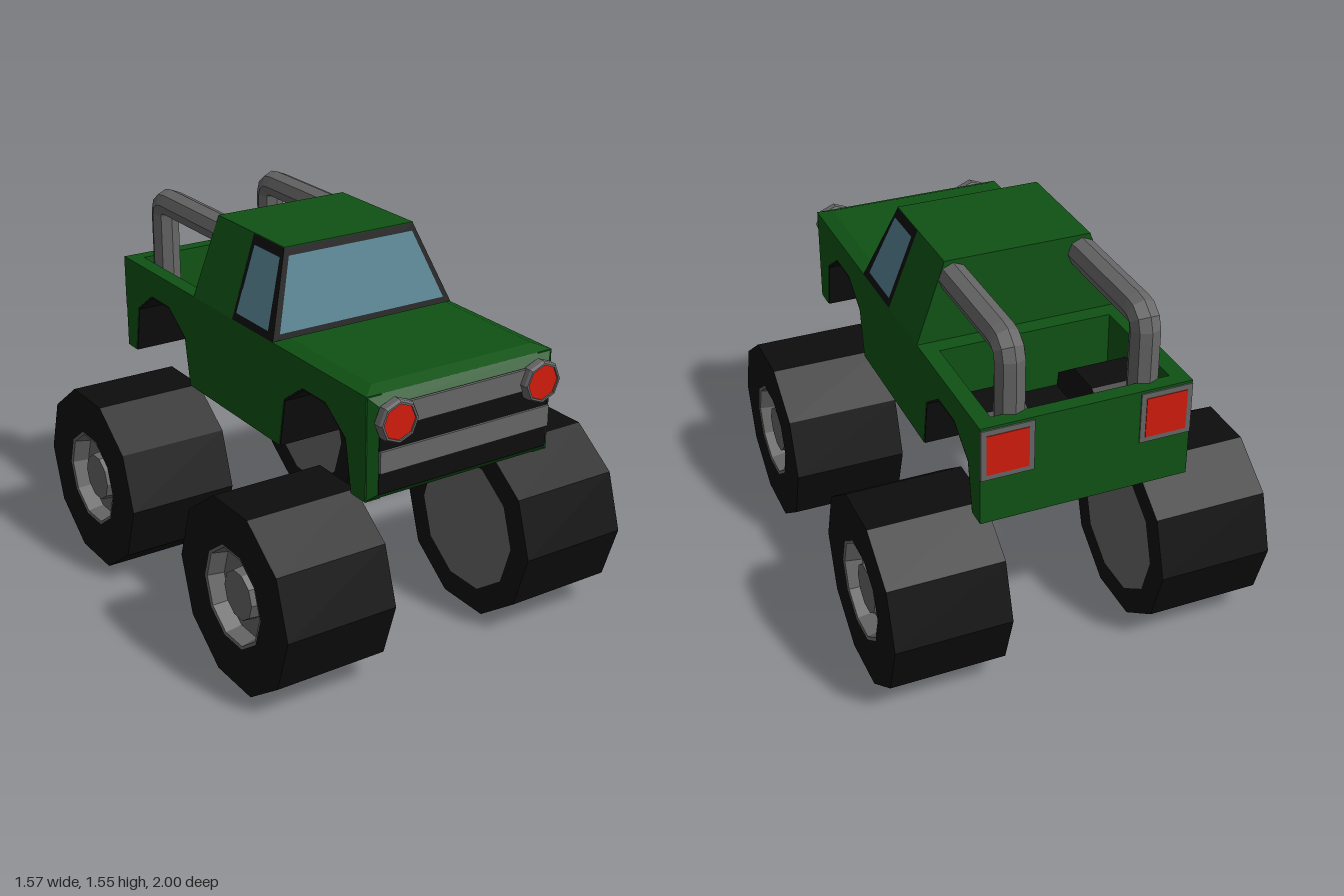
import * as THREE from 'three';

const mat = (color) => new THREE.MeshStandardMaterial({ color, flatShading: true, side: THREE.DoubleSide });

export function createModel() {
  const model = new THREE.Group();
  const green = mat(0x0f5214), black = mat(0x0d0d0d), grey = mat(0x666666);
  const red = mat(0xd01c0c), glass = mat(0x54808f);

  const add = (name, geo, material, parent = model) => {
    const mesh = new THREE.Mesh(geo, material);
    mesh.name = name;
    parent.add(mesh);
    return mesh;
  };
  // Box from its limits
  const box = (name, material, x0, x1, y0, y1, z0, z1) =>
    add(name, new THREE.BoxGeometry(x1 - x0, y1 - y0, z1 - z0)
      .translate((x0 + x1) / 2, (y0 + y1) / 2, (z0 + z1) / 2), material);
  // Tapered block between two rectangles [half width, zMin, zMax]
  const taper = (low, high, y0, y1) => {
    const geo = new THREE.BoxGeometry(1, 1, 1), p = geo.attributes.position;
    for (let i = 0; i < p.count; i++) {
      const up = p.getY(i) > 0, r = up ? high : low;
      p.setXYZ(i, Math.sign(p.getX(i)) * r[0], up ? y1 : y0, p.getZ(i) > 0 ? r[2] : r[1]);
    }
    geo.computeVertexNormals();
    return geo;
  };
  const lathe = (points, sides) =>
    new THREE.LatheGeometry(points.map(([r, y]) => new THREE.Vector2(r, y)), sides);
  // Extrude a (z, y) outline along x, from x0 to x1
  const extrudeX = (shape, x0, x1) =>
    new THREE.ExtrudeGeometry(shape, { depth: x1 - x0, bevelEnabled: false })
      .rotateY(-Math.PI / 2).scale(-1, 1, 1).translate(x0, 0, 0);
  const shapeOf = (pts) => new THREE.Shape(pts.map(([a, b]) => new THREE.Vector2(a, b)));
  const flip = (geo) => { // restore winding after a mirrored scale
    if (geo.index) geo = geo.toNonIndexed();
    const p = geo.attributes.position, a = new THREE.Vector3(), b = new THREE.Vector3();
    for (let i = 0; i < p.count; i += 3) {
      a.fromBufferAttribute(p, i);
      b.fromBufferAttribute(p, i + 2);
      p.setXYZ(i, b.x, b.y, b.z);
      p.setXYZ(i + 2, a.x, a.y, a.z);
    }
    geo.computeVertexNormals();
    return geo;
  };

  const axles = [0.59, -0.607];
  // Wheel arch outline, rear to front
  const arch = (zc, k = 1) => [[-0.24, 0], [-0.204, 0.2], [-0.075, 0.29], [0.075, 0.29], [0.204, 0.2], [0.24, 0]]
    .map(([z, y]) => [zc + z * k, 0.81 + y * k]);

  // Side panels and wheel wells
  const side = shapeOf([[-0.93, 0.81], ...arch(axles[1], 1.03), ...arch(axles[0], 1.03),
    [0.925, 0.81], [0.925, 1.22], [-0.93, 1.22]]);
  for (const s of [1, -1]) {
    const mirrored = (geo) => (s > 0 ? flip(geo) : geo.scale(-1, 1, 1));
    add('sidePanel', mirrored(extrudeX(side, 0.355, 0.42)), green);
    for (const z of axles) {
      const liner = shapeOf([...arch(z, 1.035), ...arch(z).reverse()]);
      add('wheelWell', mirrored(extrudeX(liner, 0.14, 0.418)), black);
      add('wheelWellEnd', mirrored(extrudeX(shapeOf(arch(z, 1.035)), 0.135, 0.145)), black);
    }
    // Floor parts between the wells
    for (const [z0, z1] of [[0.835, 0.92], [-0.36, 0.345], [-0.92, -0.855]])
      box('underbodySide', black, Math.min(s * 0.14, s * 0.37), Math.max(s * 0.14, s * 0.37), 0.812, 0.95, z0, z1);
  }
  box('underbody', black, -0.14, 0.14, 0.812, 0.95, -0.92, 0.92);

  // Load bed ends
  box('tailgate', green, -0.42, 0.42, 0.81, 1.22, -0.93, -0.87);
  box('bedBulkhead', green, -0.36, 0.36, 0.9, 1.22, -0.38, -0.305);

  // Hood and nose
  add('hood', taper([0.42, 0.3, 0.925], [0.365, 0.34, 0.875], 1.22, 1.24), green);
  add('nose', taper([0.42, -1.22, -0.81], [0.385, -1.185, -0.845], 0.92, 0.955).rotateX(Math.PI / 2), green);
  box('grille', black, -0.385, 0.385, 0.845, 1.185, 0.94, 0.958);
  box('grilleBarUpper', grey, -0.385, 0.385, 1.1, 1.185, 0.94, 0.968);
  box('grilleBarLower', grey, -0.385, 0.385, 0.93, 1.015, 0.94, 0.968);

  // Cabin
  add('cabinRear', taper([0.42, -0.31, 0], [0.3, -0.3, -0.02], 1.22, 1.545), green);
  add('windowFrame', taper([0.42, 0, 0.305], [0.3, -0.02, 0.2], 1.22, 1.543), black);
  add('roof', taper([0.3, -0.3, 0.2], [0.3, -0.3, 0.2], 1.542, 1.547), green);
  const wallX = (y) => 0.423 - (y - 1.22) * 0.12 / 0.325;
  const wallZ = (y) => 0.308 - (y - 1.22) * 0.105 / 0.325;
  const pane = (name, [a, b, c, d]) => {
    const geo = new THREE.BufferGeometry();
    geo.setAttribute('position', new THREE.Float32BufferAttribute([a, b, c, a, c, d].flat(), 3));
    geo.computeVertexNormals();
    add(name, geo, glass);
  };
  pane('windshield', [[-0.385, 1.245], [0.385, 1.245], [0.288, 1.515], [-0.288, 1.515]]
    .map(([x, y]) => [x, y, wallZ(y)]));
  const sidePane = [[0.257, 1.25], [0.02, 1.25], [0.005, 1.51], [0.193, 1.51]];
  pane('sideWindowLeft', sidePane.map(([z, y]) => [wallX(y), y, z]));
  pane('sideWindowRight', sidePane.map(([z, y]) => [-wallX(y), y, z]).reverse());

  for (const s of [1, -1]) {
    // Headlight
    const x = s * 0.325;
    add('headlightRing', lathe([[0.055, 0.925], [0.085, 0.96], [0.085, 0.99], [0.078, 1], [0.07, 1], [0.07, 0.985]], 8)
      .rotateX(Math.PI / 2).translate(x, 1.13, 0), grey);
    add('headlightLens', new THREE.CircleGeometry(0.073, 8).translate(x, 1.13, 0.993), red);

    // Tail light
    const t = s * 0.315;
    box('tailLightFrame', grey, t - 0.104, t + 0.104, 1.0, 1.21, -0.936, -0.92);
    box('tailLightLens', red, t - 0.083, t + 0.083, 1.022, 1.188, -0.939, -0.93);

    // Roll bar, running from the cabin back and down to the tailgate
    const v = (y, z) => new THREE.Vector3(s * 0.265, y, z);
    const path = new THREE.CurvePath();
    path.add(new THREE.LineCurve3(v(1.475, -0.28), v(1.475, -0.765)));
    path.add(new THREE.QuadraticBezierCurve3(v(1.475, -0.765), v(1.475, -0.83), v(1.41, -0.83)));
    path.add(new THREE.LineCurve3(v(1.41, -0.83), v(1.1, -0.83)));
    add('rollBar', new THREE.TubeGeometry(path, 28, 0.06, 8), grey);

    // Wheels
    for (const z of axles) {
      const wheel = new THREE.Group();
      wheel.name = 'wheel';
      add('tyre', lathe([[0.285, -0.235], [0.393, -0.235], [0.393, 0.235], [0.205, 0.235]], 10), black, wheel);
      add('rim', lathe([[0.205, 0.235], [0.193, 0.232], [0.18, 0.165], [0.105, 0.165], [0.1, 0.21], [0, 0.21]], 10), grey, wheel);
      add('innerDisc', lathe([[0, -0.235], [0.285, -0.235]], 10), grey, wheel);
      wheel.rotation.z = -s * Math.PI / 2;
      wheel.position.set(s * 0.55, 0.374, z);
      model.add(wheel);
    }
  }
  return model;
}
